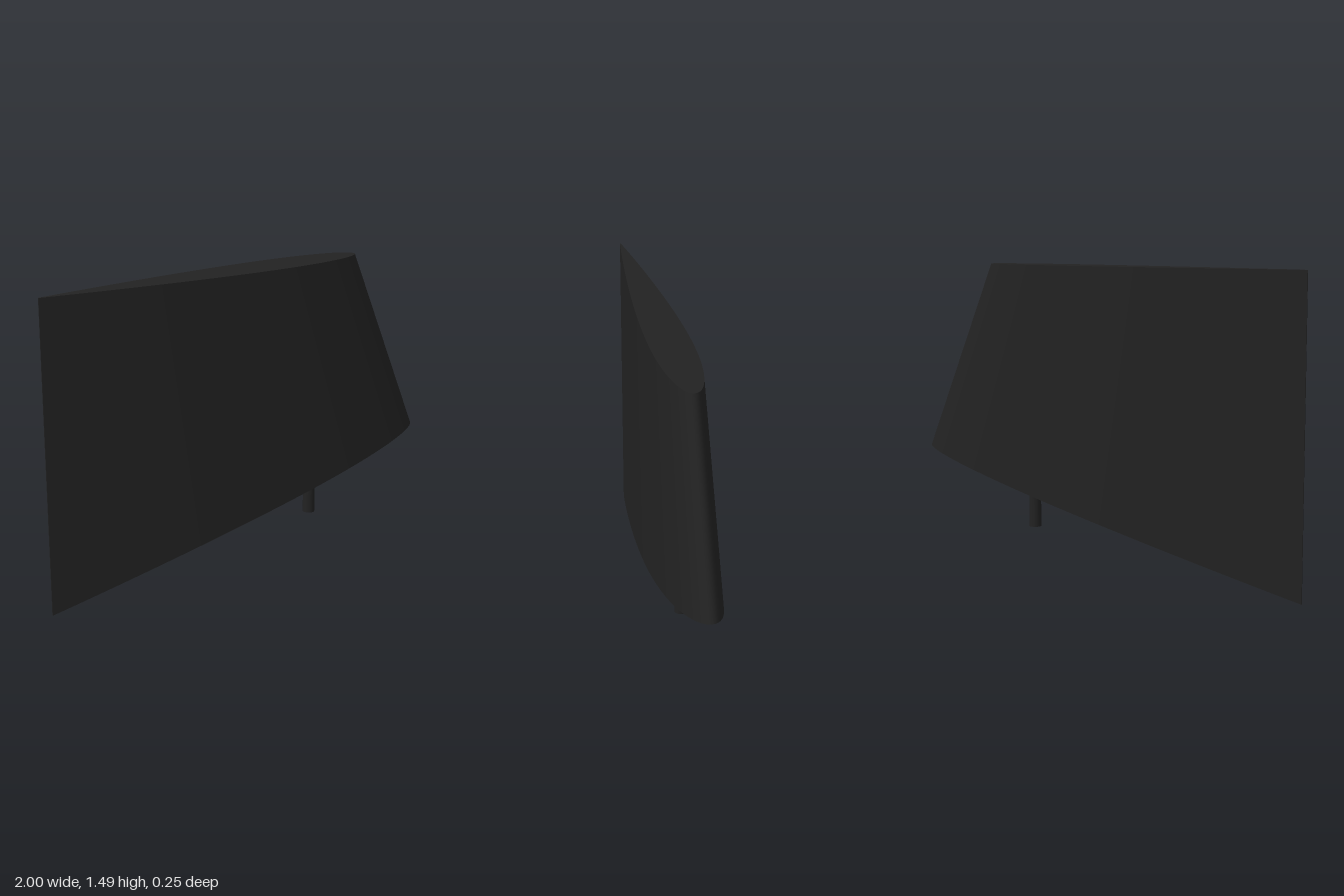
import * as THREE from 'three';

const STEPS = 40; // points along each side of the foil
const THICKNESS = 0.12; // thickness as a share of the chord

// Symmetric foil half thickness at fraction t from the leading edge
const halfThickness = (t) =>
  5 * THICKNESS * (0.2969 * Math.sqrt(t) - 0.126 * t - 0.3516 * t ** 2 + 0.2843 * t ** 3 - 0.1015 * t ** 4);

// One side of a foil section, running from trailing to leading edge
function foilSide(trailing, leading, side) {
  const chord = trailing.distanceTo(leading);
  const points = [];
  for (let i = 0; i <= STEPS; i++) {
    const t = (1 + Math.cos((Math.PI * i) / STEPS)) / 2; // closer points at both ends
    const p = leading.clone().lerp(trailing, t);
    p.z = side * chord * Math.max(0, halfThickness(t));
    points.push(p);
  }
  return points;
}

// Surface between two rows of points; faces (along row) x (a to b)
function ruled(a, b) {
  const index = [];
  const n = a.length;
  for (let i = 0; i < n - 1; i++) {
    index.push(i, i + 1, n + i, i + 1, n + i + 1, n + i);
  }
  const geometry = new THREE.BufferGeometry().setFromPoints([...a, ...b]);
  geometry.setIndex(index);
  geometry.computeVertexNormals();
  return geometry;
}

export function createModel() {
  const group = new THREE.Group();
  group.name = 'rudder';
  const black = new THREE.MeshStandardMaterial({ color: 0x222222 });
  black.name = 'matte black';

  const add = (name, geometry) => {
    const mesh = new THREE.Mesh(geometry, black);
    mesh.name = name;
    group.add(mesh);
    return mesh;
  };

  // Slanted lower section and level upper section
  const lower = [new THREE.Vector3(-1, 0, 0), new THREE.Vector3(1, 0.577, 0)];
  const upper = [new THREE.Vector3(-1, 1.487, 0), new THREE.Vector3(0.632, 1.487, 0)];
  const lowFront = foilSide(...lower, 1);
  const lowBack = foilSide(...lower, -1);
  const topFront = foilSide(...upper, 1);
  const topBack = foilSide(...upper, -1);
  const around = (front, back) => [...front, ...back.slice(0, -1).reverse()];

  // Blade skin, end faces and thin trailing edge
  add('bladeSkin', ruled(around(lowFront, lowBack), around(topFront, topBack)));
  add('bladeTop', ruled(topFront, topBack));
  add('bladeBottom', ruled(lowBack, lowFront));
  add('trailingEdge', ruled([lowBack[0], lowFront[0]], [topBack[0], topFront[0]]));

  // Pivot pin below the blade
  const pin = add('pivotPin', new THREE.CylinderGeometry(0.029, 0.029, 0.25, 32));
  pin.position.set(0.395, 0.215 + 0.125, 0);

  return group;
}
